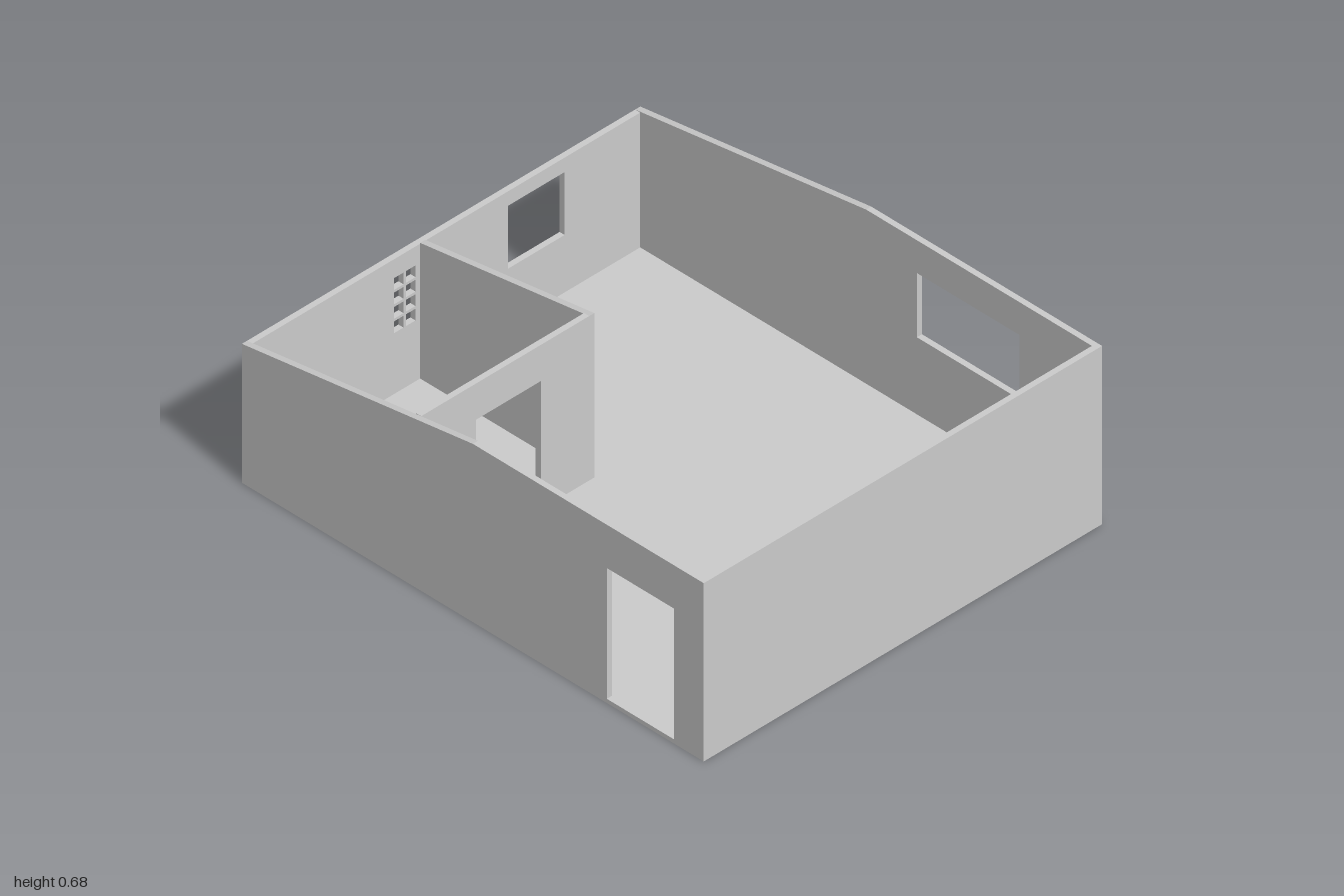
import * as THREE from 'three';

const T = 0.022;            // wall thickness
const W = 1, D = 0.857;     // half width and half depth
const FLOOR = 0.016;
const material = new THREE.MeshStandardMaterial({ color: 0xcccccc, flatShading: true });

// Height of the wall tops: sloping on the -x half, level on the +x half
const topAt = (x) => 0.68 + Math.min(x, 0) * 0.15;

// Upright slab from an outline, with rectangular openings [u0, u1, y0, y1]
function slab(name, outline, openings = []) {
  const shape = new THREE.Shape(outline.map(([u, y]) => new THREE.Vector2(u, y)));
  for (const [u0, u1, y0, y1] of openings) {
    const corners = [[u0, y0], [u0, y1], [u1, y1], [u1, y0]];
    shape.holes.push(new THREE.Path(corners.map(([u, y]) => new THREE.Vector2(u, y))));
  }
  const geometry = new THREE.ExtrudeGeometry(shape, { depth: T, bevelEnabled: false });
  const mesh = new THREE.Mesh(geometry, material);
  mesh.name = name;
  return mesh;
}

// Wall running along x, its back face at z
function wallAlongX(name, x0, x1, z, openings) {
  const tops = [[x1, topAt(x1)]];
  if (x0 < 0 && x1 > 0) tops.push([0, topAt(0)]);
  tops.push([x0, topAt(x0)]);
  const mesh = slab(name, [[x0, 0], [x1, 0], ...tops], openings);
  mesh.position.z = z;
  return mesh;
}

// Wall running along z, its +x face at x
function wallAlongZ(name, z0, z1, x, height, openings) {
  const mesh = slab(name, [[z0, 0], [z1, 0], [z1, height], [z0, height]], openings);
  mesh.geometry.rotateY(-Math.PI / 2);
  mesh.position.x = x;
  return mesh;
}

// Small openings of the pierced ventilation block panel
function ventOpenings(z0, z1, y0, y1, columns, rows, bar) {
  const cells = [];
  const dz = (z1 - z0) / columns, dy = (y1 - y0) / rows;
  for (let i = 0; i < columns; i++) {
    for (let j = 0; j < rows; j++) {
      const z = z0 + i * dz, y = y0 + j * dy;
      cells.push([z + bar, z + dz - bar, y + bar, y + dy - bar]);
    }
  }
  return cells;
}

export function createModel() {
  const house = new THREE.Group();
  house.name = 'house';

  // Floor slab between the outer walls
  const floor = new THREE.Mesh(
    new THREE.BoxGeometry(2 * (W - T), FLOOR, 2 * (D - T)), material);
  floor.name = 'floor';
  floor.position.y = FLOOR / 2;
  house.add(floor);

  // Outer walls: front with entrance, back with wide window
  house.add(wallAlongX('frontWall', -W, W, D - T, [[0.58, 0.872, FLOOR, 0.515]]));
  house.add(wallAlongX('backWall', -W, W, -D, [[0.22, 0.665, 0.31, 0.555]]));

  // Side walls: plain on the left, window and vent panel on the right
  const inner = D - T;
  house.add(wallAlongZ('leftWall', -inner, inner, W, topAt(W)));
  house.add(wallAlongZ('rightWall', -inner, inner, -W + T, topAt(-W), [
    [-0.51, -0.265, 0.235, 0.475],
    ...ventOpenings(0.127, 0.23, 0.243, 0.463, 2, 4, 0.005),
  ]));

  // Partitions of the small room, with a doorway
  const roomX = -0.246, roomZ = 0.09;
  house.add(wallAlongX('roomBackPartition', -W + T, roomX, roomZ));
  house.add(wallAlongZ('roomSidePartition', roomZ + T, inner, roomX, topAt(roomX),
    [[0.32, 0.6, FLOOR, 0.505]]));

  return house;
}
